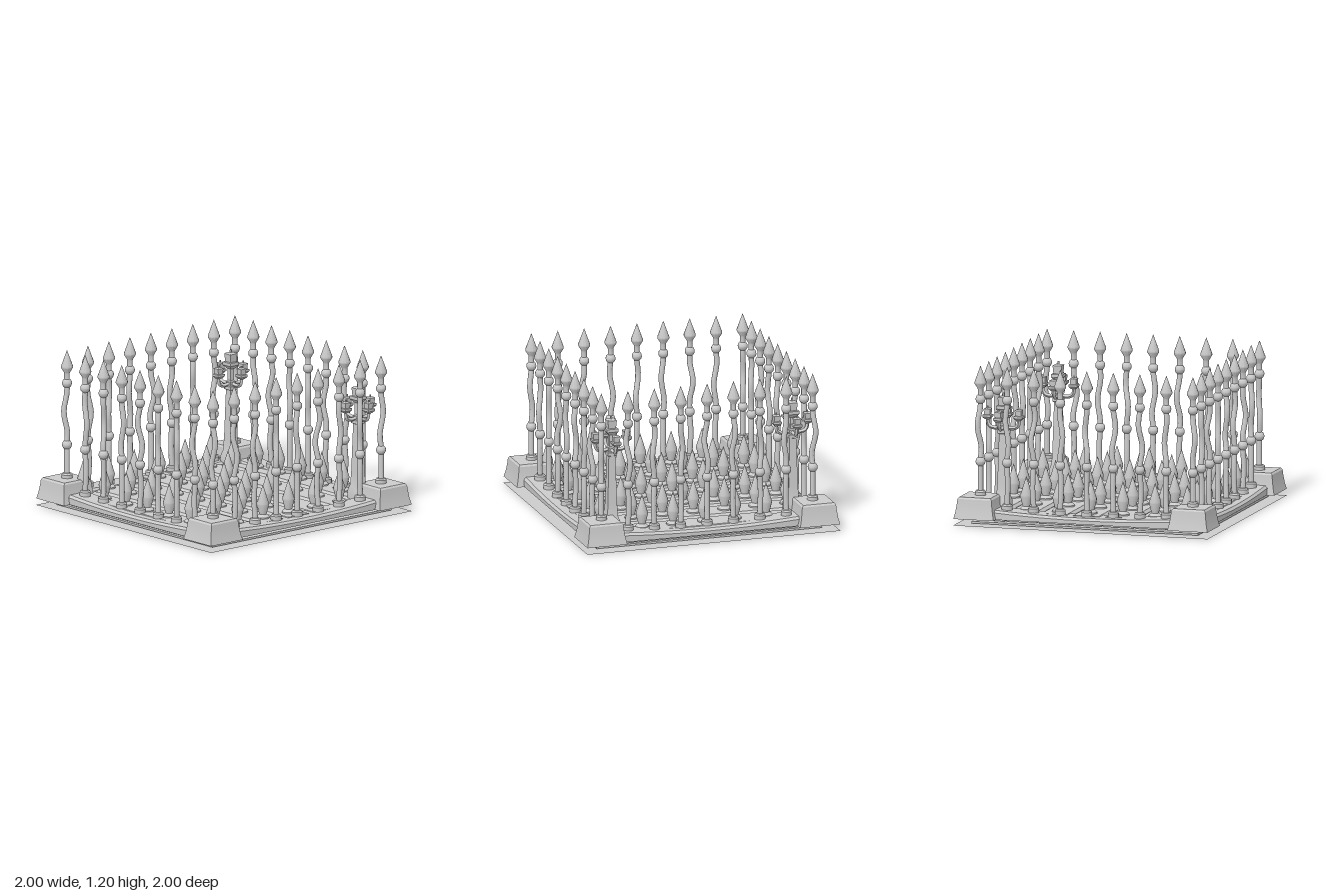
import * as THREE from 'three';
import { toCreasedNormals } from 'three/addons/utils/BufferGeometryUtils.js';

const grey = new THREE.MeshStandardMaterial({ color: 0xcccccc, side: THREE.DoubleSide });

function add(parent, name, geometry, x = 0, y = 0, z = 0) {
  const mesh = new THREE.Mesh(geometry, grey);
  mesh.name = name;
  mesh.position.set(x, y, z);
  parent.add(mesh);
  return mesh;
}

const points = (list) => list.map(([r, y]) => new THREE.Vector2(r, y));

// Turned part with crisp edges
const turned = (list, sides = 14) => toCreasedNormals(new THREE.LatheGeometry(points(list), sides), 0.6);

// Square-plan part; each profile point is [half width, height]
function squareTurned(list) {
  const profile = points(list.map(([r, y]) => [r * Math.SQRT2, y]));
  return toCreasedNormals(new THREE.LatheGeometry(profile, 4, Math.PI / 4), 0.4);
}

// Profile points of a ball on a shaft
function ball(y, r, shaft) {
  const a = Math.asin(shaft / r), list = [];
  for (let i = 0; i <= 6; i++) {
    const t = a + (Math.PI - 2 * a) * i / 6;
    list.push([r * Math.sin(t), y - r * Math.cos(t)]);
  }
  return list;
}

// Tall spear post, gently crooked between its two balls
function fencePost(base, seed) {
  const s = 0.021, shaft = (a, b, n) => Array.from({ length: n }, (_, i) => [s, a + (b - a) * i / (n - 1)]);
  const geo = new THREE.LatheGeometry(points([
    [0, base - 0.02], [0.042, base - 0.02], [0.042, base + 0.025], [0.033, base + 0.036],
    ...shaft(base + 0.037, 0.425, 5), ...ball(0.47, 0.038, s),
    ...shaft(0.515, 0.9, 10), ...ball(0.945, 0.038, s),
    [s, 1.02], [0.024, 1.03], [0.046, 1.065], [0.046, 1.075], [0, 1.2],
  ]), 12);
  const p = geo.attributes.position, phase = seed * 2.4;
  for (let i = 0; i < p.count; i++) {
    const y = p.getY(i);
    let bend = 0;
    if (y > 0.5 && y < 0.91) {
      const t = (y - 0.5) / 0.41;
      bend = 0.02 * Math.sin(Math.PI * t) * Math.sin(4.5 * t + phase);
    } else if (base < 0.2 && y > 0.16 && y < 0.44) {
      bend = 0.008 * Math.sin(Math.PI * (y - 0.16) / 0.28) * Math.cos(phase);
    }
    p.setX(i, p.getX(i) + bend);
    p.setZ(i, p.getZ(i) + bend * Math.sin(seed * 1.7));
  }
  return toCreasedNormals(geo, 0.6);
}

// Chamfered beam along x; its top may dip in the middle
function beam(length, half, y0, y1, chamfer, sag = 0) {
  const shape = new THREE.Shape(points([
    [-half, y0], [half, y0], [half, y1 - chamfer], [half - chamfer, y1],
    [-half + chamfer, y1], [-half, y1 - chamfer],
  ]));
  const geo = new THREE.ExtrudeGeometry(shape, { depth: length, steps: sag ? 12 : 1, bevelEnabled: false });
  geo.translate(0, 0, -length / 2).rotateY(Math.PI / 2);
  const p = geo.attributes.position;
  for (let i = 0; i < p.count; i++) {
    const t = p.getX(i) * 2 / length;
    if (p.getY(i) > y0 + 0.01) p.setY(i, p.getY(i) - sag * (1 - t * t));
  }
  return toCreasedNormals(geo, 0.4);
}

// Lamp post with four upturned arms and a raised middle lantern
function lampPost() {
  const lamp = new THREE.Group();
  lamp.name = 'lampPost';
  add(lamp, 'post', squareTurned([
    [0, 0.09], [0.055, 0.09], [0.055, 0.16], [0.042, 0.2], [0.036, 0.3], [0.026, 0.67], [0.036, 0.675],
    [0.036, 0.7], [0.026, 0.705], [0.026, 0.735], [0.018, 0.745], [0.018, 0.85], [0, 0.85],
  ]));
  const lantern = squareTurned([
    [0, 0], [0.018, 0], [0.033, 0.018], [0.033, 0.034], [0.022, 0.036],
    [0.026, 0.078], [0.02, 0.082], [0.005, 0.084], [0.004, 0.1], [0, 0.1],
  ]);
  const path = new THREE.CatmullRomCurve3([[0.015, 0.72], [0.07, 0.712], [0.108, 0.725], [0.122, 0.755], [0.122, 0.785]]
    .map(([x, y]) => new THREE.Vector3(x, y, 0)));
  const armShape = toCreasedNormals(new THREE.TubeGeometry(path, 10, 0.015, 4), 0.6);
  for (let i = 0; i < 4; i++) {
    const arm = new THREE.Group();
    arm.name = 'lampArm';
    arm.rotation.y = i * Math.PI / 2;
    add(arm, 'bracket', armShape);
    add(arm, 'lantern', lantern, 0.122, 0.775, 0);
    lamp.add(arm);
  }
  add(lamp, 'topLantern', lantern, 0, 0.835, 0).scale.set(1.35, 1.45, 1.35);
  return lamp;
}

export function createModel() {
  const model = new THREE.Group();
  model.name = 'spikedFloor';

  // Ground sheet and under-deck
  add(model, 'groundSheet', new THREE.PlaneGeometry(2, 2).rotateX(-Math.PI / 2));
  add(model, 'underDeck', new THREE.BoxGeometry(1.78, 0.015, 1.78), 0, 0.0125, 0);

  // Floor planks with rows of short spikes
  const plank = beam(1.7, 0.118, 0.025, 0.102, 0.02);
  const spike = turned([
    [0, 0.09], [0.05, 0.09], [0.05, 0.112], [0.034, 0.128], [0.028, 0.132],
    [0.046, 0.205], [0.046, 0.215], [0, 0.36],
  ]);
  for (let row = -3; row <= 3; row++) {
    const z = row * 0.253;
    add(model, 'floorPlank', plank, 0, 0, z);
    for (let col = -3; col <= 3; col++) {
      if (row === -3 && Math.abs(col) === 3) continue;
      add(model, 'floorSpike', spike, col * 0.245, 0, z);
    }
  }

  // Edge rails and flared corner blocks
  const rail = beam(1.44, 0.1, 0.05, 0.122, 0.018, 0.026);
  const block = squareTurned([
    [0, 0.05], [0.158, 0.05], [0.146, 0.1], [0.137, 0.16], [0.133, 0.2], [0.122, 0.214], [0, 0.216],
  ]);
  for (let i = 0; i < 4; i++) {
    const side = new THREE.Group();
    side.name = 'edge';
    side.rotation.y = i * Math.PI / 2;
    add(side, 'edgeRail', rail, 0, 0, 0.84);
    add(side, 'cornerBlock', block, 0.84, 0, 0.84);

    // Fence: one post on the block and seven along the rail
    for (let k = -3; k <= 4; k++) {
      const base = k === 4 ? 0.216 : 0.104 + 0.0018 * k * k;
      add(side, 'fencePost', fencePost(base, i * 8 + k + 3), k * 0.2085, 0, 0.835);
    }
    model.add(side);
  }

  // Lamps at the two back corners
  for (const [x, z] of [[-0.717, -0.692], [0.717, -0.708]]) {
    const lamp = lampPost();
    lamp.position.set(x, 0, z);
    model.add(lamp);
  }
  return model;
}
